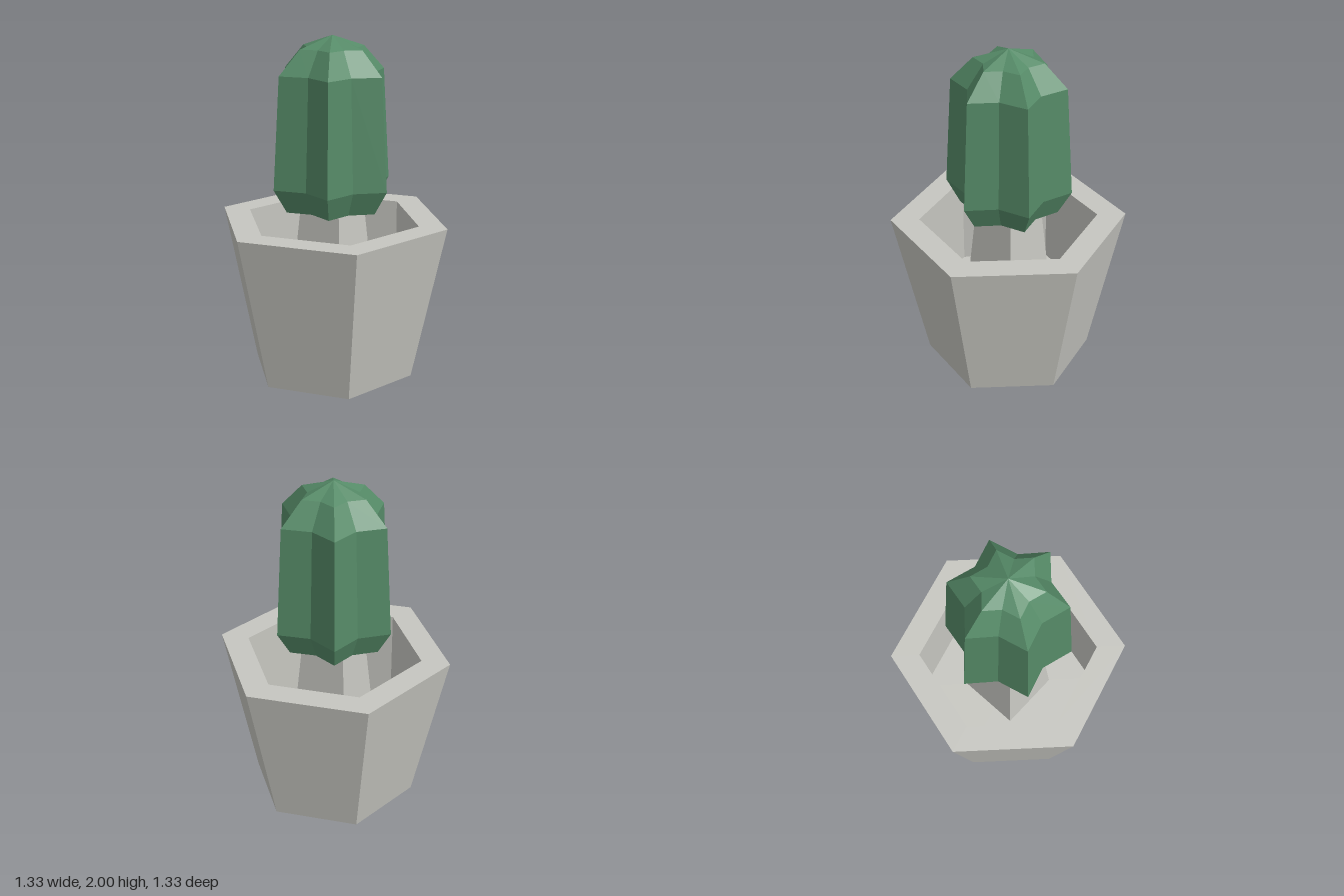
import * as THREE from 'three';

const clay = new THREE.MeshStandardMaterial({ color: 0xc6c6c0 });
clay.name = 'pale clay';
const green = new THREE.MeshStandardMaterial({ color: 0x558a67 });
green.name = 'cactus green';

// Faceted solid turned from a [radius, y] profile; every second rib can be pulled in by `valley`
function faceted(name, profile, sides, startDegrees, material, valley = 1) {
  const points = profile.map(([r, y]) => new THREE.Vector2(r, y));
  const geometry = new THREE.LatheGeometry(points, sides, THREE.MathUtils.degToRad(startDegrees));
  const position = geometry.attributes.position;
  for (let i = 0; i < position.count; i++) {
    const rib = Math.floor(i / points.length);
    if (rib % 2 === 1) {
      position.setX(i, position.getX(i) * valley);
      position.setZ(i, position.getZ(i) * valley);
    }
  }
  const flat = geometry.toNonIndexed();
  flat.computeVertexNormals();
  const mesh = new THREE.Mesh(flat, material);
  mesh.name = name;
  return mesh;
}

export function createModel() {
  const group = new THREE.Group();
  group.name = 'pottedCactus';

  // Six-sided hollow pot: base, outer wall, rim, inner wall, floor
  group.add(faceted('pot', [
    [0, 0], [0.492, 0], [0.69, 0.93], [0.523, 0.93], [0.523, 0.35], [0, 0.35],
  ], 6, 45, clay));

  // Square tapered post holding the cactus
  group.add(faceted('post', [
    [0.26, 0.35], [0.186, 1.02], [0, 1.02],
  ], 4, 45, clay));

  // Six-ribbed star-shaped body
  group.add(faceted('cactusBody', [
    [0, 1.0], [0.29, 1.0], [0.37, 1.14], [0.33, 1.79], [0.2, 1.93], [0, 2.0],
  ], 12, 90, green, 0.716));

  return group;
}
